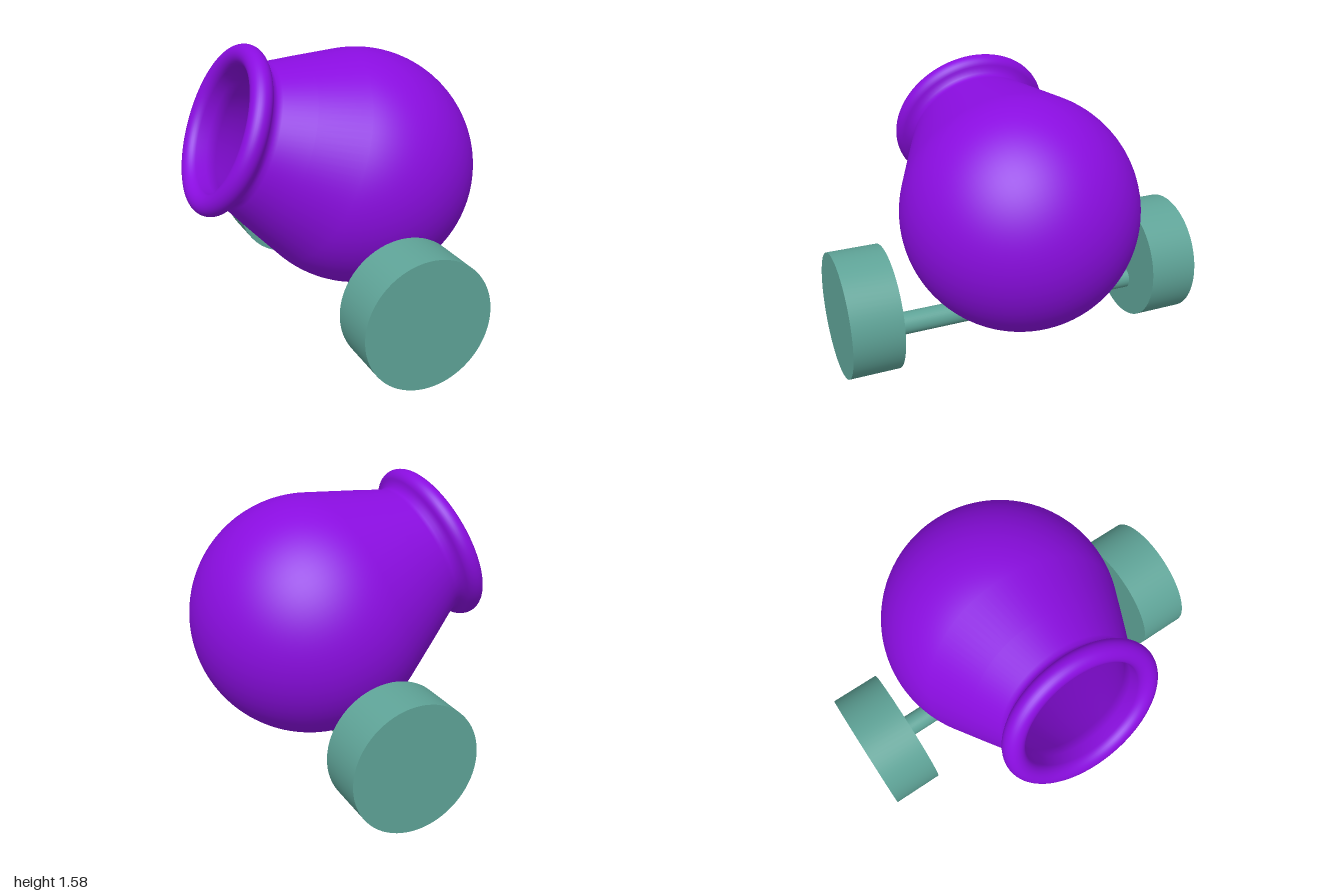
import * as THREE from 'three';

const purple = new THREE.MeshStandardMaterial({ color: 0x8a0de0, side: THREE.DoubleSide });
const teal = new THREE.MeshStandardMaterial({ color: 0x5fa498 });
const UP = new THREE.Vector3(0, 1, 0);

function add(parent, name, geometry, material, position, axis) {
  const mesh = new THREE.Mesh(geometry, material);
  mesh.name = name;
  mesh.position.copy(position);
  mesh.quaternion.setFromUnitVectors(UP, axis);
  parent.add(mesh);
  return mesh;
}

// Points on an arc in the (radius, height) plane, angles in degrees
function arc(cx, cy, r, from, to, n) {
  return Array.from({ length: n + 1 }, (_, i) => {
    const a = THREE.MathUtils.degToRad(from + ((to - from) * i) / n);
    return new THREE.Vector2(Math.max(0, cx + r * Math.cos(a)), cy + r * Math.sin(a));
  });
}

export function createModel() {
  const model = new THREE.Group();
  model.name = 'wheeledMortar';

  // Hollow barrel: round breech, tapering neck, rolled lip, inner wall
  const taper = 25.5;
  const profile = [
    ...arc(0, 0, 0.67, -90, taper, 40),
    new THREE.Vector2(0.486, 0.54),
    new THREE.Vector2(0.408, 0.7),
    new THREE.Vector2(0.399, 0.725),
    new THREE.Vector2(0.403, 0.75),
    ...arc(0.409, 0.824, 0.059, -70, 185, 24),
    new THREE.Vector2(0.346, 0.77),
    new THREE.Vector2(0.35, 0.71),
    ...arc(0, 0, 0.62, taper, -90, 32),
  ];
  const aim = new THREE.Vector3(-0.675, 0.375, 0.635).normalize();
  add(model, 'barrel', new THREE.LatheGeometry(profile, 96), purple,
    new THREE.Vector3(0.065, 0.84, -0.075), aim);

  // Axle passing through the underside of the barrel
  const axleDir = new THREE.Vector3(0.687, 0, 0.727).normalize();
  add(model, 'axle', new THREE.CylinderGeometry(0.064, 0.064, 1.7, 40), teal,
    new THREE.Vector3(0.017, 0.235, -0.016), axleDir);

  // Pair of solid wheels
  for (const side of [-1, 1]) {
    const centre = axleDir.clone().multiplyScalar(0.897 * side).setY(0.355);
    add(model, side > 0 ? 'leftWheel' : 'rightWheel',
      new THREE.CylinderGeometry(0.353, 0.353, 0.284, 72), teal, centre, axleDir);
  }
  return model;
}
